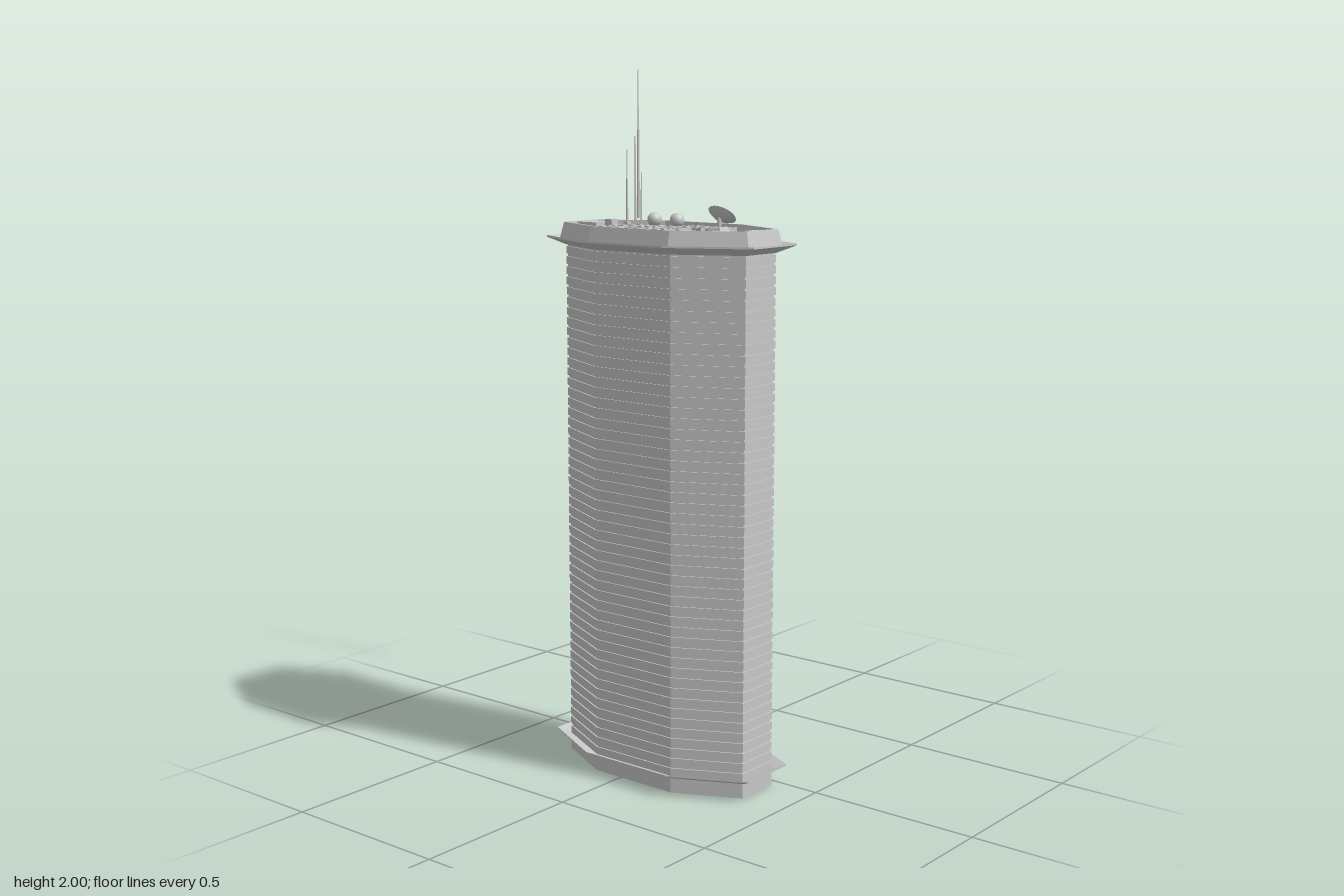
import * as THREE from 'three';

const grey = new THREE.MeshStandardMaterial({ color: 0xc8c8c8 });
grey.name = 'concrete grey';
const greyOpen = new THREE.MeshStandardMaterial({ color: 0xc8c8c8, side: THREE.DoubleSide });
greyOpen.name = 'concrete grey';

const CX = -0.0975, CZ = 0.0475; // centre of the tower plan
const FLOOR = 1.542;             // level of the roof deck

// Eight-sided plan, grown outward by d, running from front to left
function ring(d, y) {
  const hx = 0.158 + d, hz = 0.321 + d, fx = 0.067 + 0.6 * d, sz = 0.137 + 0.25 * d;
  return [[-fx, hz], [fx, hz], [hx, sz], [hx, -sz], [fx, -hz], [-fx, -hz], [-hx, -sz], [-hx, sz]]
    .map(([x, z]) => new THREE.Vector3(CX + x, y, CZ + z));
}

// Sweeps a profile of [offset, height] pairs round the plan
function loft(name, profile, capBottom = false, capTop = false) {
  const pts = [];
  const rings = profile.map(([d, y]) => ring(d, y));
  for (let r = 0; r < rings.length - 1; r++) {
    const a = rings[r], b = rings[r + 1];
    for (let i = 0; i < 8; i++) {
      const j = (i + 1) % 8;
      pts.push(a[i], a[j], b[j], a[i], b[j], b[i]);
    }
  }
  const cap = (loop, up) => {
    const c = new THREE.Vector3(CX, loop[0].y, CZ);
    loop.forEach((p, i) => {
      const q = loop[(i + 1) % 8];
      pts.push(c, up ? p : q, up ? q : p);
    });
  };
  if (capBottom) cap(rings[0], false);
  if (capTop) cap(rings[rings.length - 1], true);
  const geo = new THREE.BufferGeometry().setFromPoints(pts);
  geo.computeVertexNormals();
  const mesh = new THREE.Mesh(geo, grey);
  mesh.name = name;
  return mesh;
}

function add(parent, name, geo, x, y, z, mat = grey) {
  const mesh = new THREE.Mesh(geo, mat);
  mesh.name = name;
  mesh.position.set(x, y, z);
  parent.add(mesh);
  return mesh;
}

// Box standing on height y
function box(parent, name, w, h, d, x, y, z) {
  return add(parent, name, new THREE.BoxGeometry(w, h, d), x, y + h / 2, z);
}

// Roof vent: low block with a raised rim and cross bars
function vent(parent, x, z, w, d, h) {
  const g = new THREE.Group();
  g.name = 'roofVent';
  g.position.set(x, FLOOR, z);
  const t = w * 0.11, lip = 0.008;
  box(g, 'ventBase', w, h - lip, d, 0, 0, 0);
  for (const k of [-1, 0, 1]) {
    box(g, 'ventBar', t, lip, d, k * (w - t) / 2, h - lip, 0);
    box(g, 'ventBar', w, lip, t, 0, h - lip, k * (d - t) / 2);
  }
  parent.add(g);
}

// Mast: thick lower tube with a thin tip
function mast(parent, name, x, z, y0, y1, r) {
  const g = new THREE.Group();
  g.name = name;
  const mid = y0 + (y1 - y0) * 0.6;
  add(g, 'mastPole', new THREE.CylinderGeometry(r * 0.7, r, mid - y0, 8), x, (y0 + mid) / 2, z);
  add(g, 'mastTip', new THREE.CylinderGeometry(r * 0.3, r * 0.5, y1 - mid, 8), x, (mid + y1) / 2, z);
  parent.add(g);
}

export function createModel() {
  const model = new THREE.Group();
  model.name = 'officeTower';

  // Plinth and upturned lower canopy
  model.add(loft('plinth', [[0, 0], [0, 0.05]], true));
  model.add(loft('lowerCanopy', [[0, 0.042], [0.036, 0.059], [0.036, 0.063], [0, 0.049]]));

  // Storeys separated by shallow grooves
  const floors = 50, y0 = 0.049, step = (1.506 - y0) / floors;
  const wall = [];
  for (let i = 0; i < floors; i++) {
    const y = y0 + i * step;
    wall.push([0, y], [0, y + step * 0.75], [-0.004, y + step * 0.75], [-0.004, y + step]);
  }
  model.add(loft('storeys', wall));

  // Upturned cornice, sloped parapet and sunken roof deck
  model.add(loft('cornice', [[-0.004, 1.503], [0, 1.503], [0.048, 1.524], [0.048, 1.529], [0.017, 1.516]]));
  model.add(loft('parapetAndRoof',
    [[0.017, 1.516], [0.005, 1.567], [-0.004, 1.567], [-0.007, FLOOR]], false, true));

  // Two sets of six vents
  const roof = new THREE.Group();
  roof.name = 'roofEquipment';
  model.add(roof);
  for (const x of [-0.202, -0.138]) for (const z of [-0.06, 0.025, 0.11]) vent(roof, x, z, 0.055, 0.061, 0.024);
  for (const x of [-0.031, 0.021]) for (const z of [0.048, 0.106, 0.161]) vent(roof, x, z, 0.038, 0.041, 0.018);

  // Domes on square bases
  for (const [x, z] of [[0.012, -0.093], [0.027, -0.022]]) {
    box(roof, 'domeBase', 0.042, 0.014, 0.042, x, FLOOR, z);
    add(roof, 'dome', new THREE.SphereGeometry(0.021, 20, 14), x, 1.572, z);
  }

  // Plant rooms and hatch
  box(roof, 'plantRoom', 0.07, 0.025, 0.07, -0.1, FLOOR, -0.221);
  box(roof, 'plantRoomAnnex', 0.026, 0.033, 0.026, -0.084, FLOOR, -0.173);
  box(roof, 'hatch', 0.028, 0.02, 0.038, -0.055, FLOOR, 0.311);

  // Stepped mast base and roof mast
  [0.046, 0.028, 0.014].forEach((w, i) =>
    box(roof, 'mastBase', w, 0.008, w * 1.1, -0.038, FLOOR + i * 0.008, -0.153));
  mast(roof, 'roofMast', -0.038, -0.153, 1.56, 1.77, 0.0035);

  // Tilted dish on a tapered pedestal
  const pedestal = new THREE.CylinderGeometry(0.024, 0.042, 0.03, 4, 1).rotateY(Math.PI / 4).toNonIndexed();
  pedestal.computeVertexNormals();
  add(roof, 'dishPedestal', pedestal, -0.132, FLOOR + 0.015, 0.252);
  add(roof, 'dishPost', new THREE.CylinderGeometry(0.006, 0.006, 0.035, 8), -0.13, 1.58, 0.252);
  const dish = new THREE.Group();
  dish.name = 'dish';
  dish.position.set(-0.128, 1.592, 0.252);
  dish.rotation.z = -0.67;
  roof.add(dish);
  const bowl = [];
  for (let i = 0; i <= 6; i++) bowl.push(new THREE.Vector2(0.04 * i / 6, 0.017 * (i / 6) ** 2));
  add(dish, 'dishBowl', new THREE.LatheGeometry(bowl, 24), 0, 0, 0, greyOpen);
  add(dish, 'dishFeed', new THREE.CylinderGeometry(0.0015, 0.002, 0.03, 6), 0, 0.015, 0);
  add(dish, 'dishReceiver', new THREE.SphereGeometry(0.004, 8, 6), 0, 0.03, 0);

  // Three free-standing masts behind the tower's left side
  mast(model, 'detachedMast', 0.3, -0.387, 1.24, 1.69, 0.005);
  mast(model, 'detachedMast', 0.3, -0.399, 1.55, 2.0, 0.005);
  mast(model, 'detachedMast', 0.3, -0.411, 1.34, 1.8, 0.005);

  return model;
}
